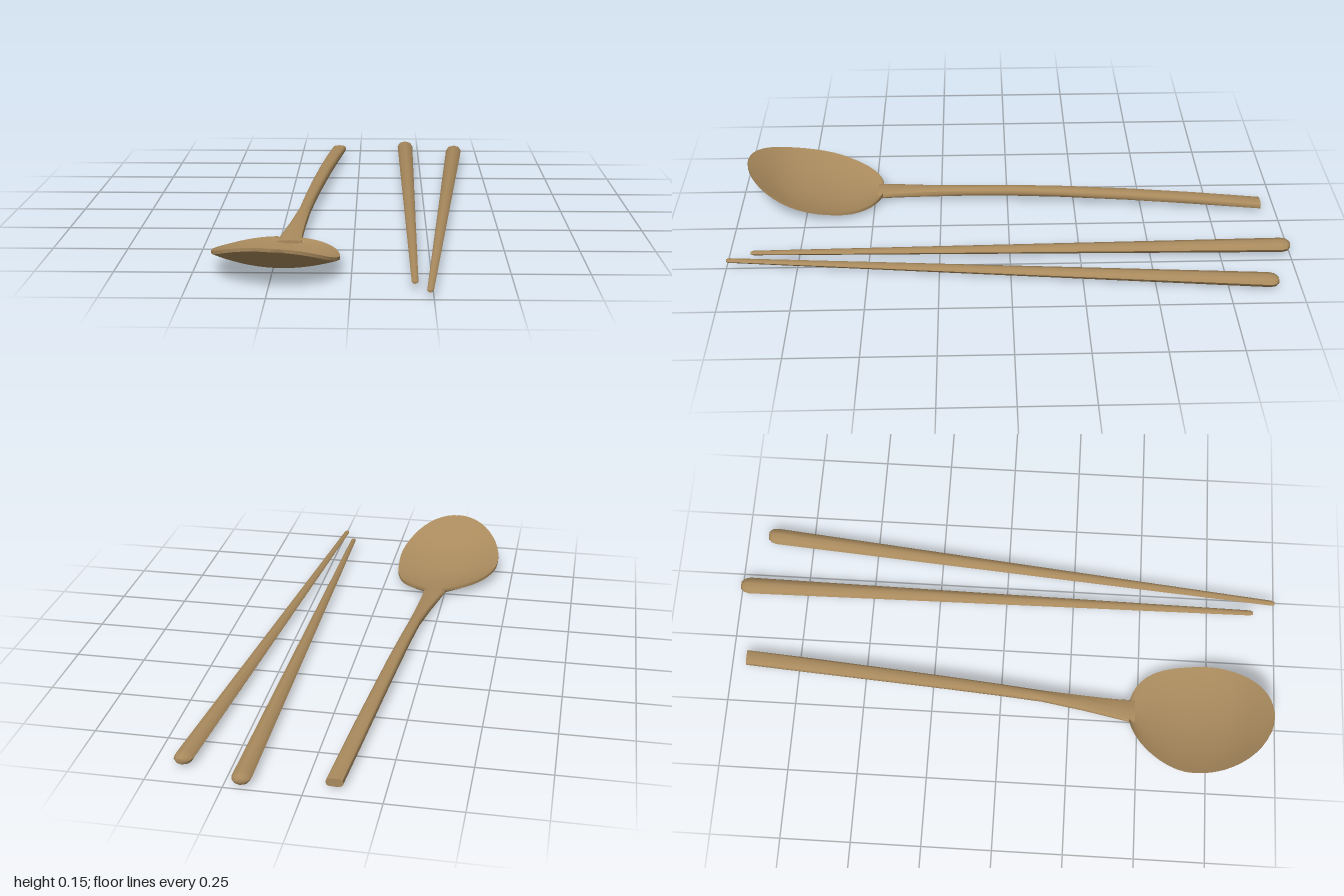
import * as THREE from 'three';
import { toCreasedNormals } from 'three/addons/utils/BufferGeometryUtils.js';

// Skin a row of closed rings (counter-clockwise seen from +z, ordered towards +z) and cap both ends.
function loft(rings, crease) {
  const n = rings[0].length, pos = [], index = [];
  rings.forEach((ring) => ring.forEach((p) => pos.push(p.x, p.y, p.z)));
  for (let i = 0; i < rings.length - 1; i++) {
    for (let j = 0; j < n; j++) {
      const k = (j + 1) % n;
      const a = i * n + j, b = i * n + k, c = b + n, d = a + n;
      index.push(a, b, c, a, c, d);
    }
  }
  [0, rings.length - 1].forEach((r) => {
    const mid = new THREE.Vector3();
    rings[r].forEach((p) => mid.addScaledVector(p, 1 / n));
    const m = pos.length / 3;
    pos.push(mid.x, mid.y, mid.z);
    for (let j = 0; j < n; j++) {
      const a = r * n + j, b = r * n + (j + 1) % n;
      if (r === 0) index.push(m, b, a);
      else index.push(m, a, b);
    }
  });
  const g = new THREE.BufferGeometry();
  g.setAttribute('position', new THREE.Float32BufferAttribute(pos, 3));
  g.setIndex(index);
  return toCreasedNormals(g, crease);
}

// Rounded ring; a power below 1 makes it boxier.
function ovalRing(x, y, z, rx, ry, sides, power = 1) {
  const bend = (v) => Math.sign(v) * Math.pow(Math.abs(v), power);
  return Array.from({ length: sides }, (_, j) => {
    const a = (j / sides) * Math.PI * 2;
    return new THREE.Vector3(x + rx * bend(Math.cos(a)), y + ry * bend(Math.sin(a)), z);
  });
}

// Smooth curve through [z, value] pairs.
function profile(points) {
  const curve = new THREE.SplineCurve(points.map(([z, v]) => new THREE.Vector2(z, v)));
  const samples = curve.getPoints(100);
  return (z) => {
    for (let i = 1; i < samples.length; i++) {
      const p = samples[i - 1], q = samples[i];
      if (z <= q.x) return p.y + (q.y - p.y) * THREE.MathUtils.clamp((z - p.x) / (q.x - p.x), 0, 1);
    }
    return samples[samples.length - 1].y;
  };
}

// Tapered stick with a rounded butt and a small blunt tip.
function chopstick(xButt, zButt, xTip, zTip) {
  const steps = [[0, 0.5], [0.006, 0.85], [0.016, 1], [0.5, 0.66], [0.994, 0.32], [1, 0.2]];
  return loft(steps.map(([t, s]) => ovalRing(
    xButt + (xTip - xButt) * t, 0.03, zButt + (zTip - zButt) * t, 0.032 * s, 0.022 * s, 8)), 1.0);
}

function spoonHandle() {
  // z, centre x, half width, bottom y, top y
  const stations = [
    [-0.945, -0.09, 0.028, 0.01, 0.04],
    [-0.7, -0.111, 0.027, 0.02, 0.053],
    [-0.45, -0.132, 0.025, 0.028, 0.062],
    [-0.2, -0.152, 0.023, 0.032, 0.066],
    [0, -0.168, 0.021, 0.03, 0.064],
    [0.15, -0.18, 0.02, 0.024, 0.058],
    [0.3, -0.195, 0.028, 0.017, 0.048],
    [0.42, -0.208, 0.037, 0.012, 0.04],
    [0.49, -0.214, 0.044, 0.01, 0.033],
  ];
  return loft(stations.map(([z, x, w, lo, hi]) =>
    ovalRing(x, (lo + hi) / 2, z, w, (hi - lo) / 2, 12, 0.65)), 0.8);
}

function spoonBowl() {
  const rim = profile([[0.47, 0.038], [0.6, 0.042], [0.73, 0.062], [0.85, 0.095], [0.975, 0.15]]);
  const base = profile([[0.47, 0.012], [0.62, 0.004], [0.73, 0.018], [0.85, 0.055], [0.975, 0.139]]);
  const rows = 22, cols = 16, rings = [];
  for (let i = 0; i <= rows; i++) {
    const a = THREE.MathUtils.lerp(-1.37, 1.53, i / rows);
    const z = 0.72 + 0.255 * Math.sin(a), halfWidth = 0.202 * Math.cos(a);
    const cx = THREE.MathUtils.lerp(-0.213, -0.239, THREE.MathUtils.smoothstep(z, 0.47, 0.7));
    const ring = [];
    const add = (s, lift) => {
      const y = base(z) + lift + (rim(z) - base(z) - 0.01) * s * s - 0.05 * halfWidth * s;
      ring.push(new THREE.Vector3(cx + halfWidth * s, y, z));
    };
    for (let j = 0; j <= cols; j++) add(1 - (2 * j) / cols, 0.011);
    for (let j = 0; j <= cols; j++) add(-1 + (2 * j) / cols, 0);
    rings.push(ring);
  }
  return loft(rings, 0.8);
}

export function createModel() {
  const wood = new THREE.MeshStandardMaterial({ color: 0xa98a5d });
  wood.name = 'wood';
  const model = new THREE.Group();
  model.name = 'cutlerySet';
  const add = (parent, name, geometry) => {
    const mesh = new THREE.Mesh(geometry, wood);
    mesh.name = name;
    parent.add(mesh);
  };

  // Spoon
  const spoon = new THREE.Group();
  spoon.name = 'spoon';
  add(spoon, 'spoonHandle', spoonHandle());
  add(spoon, 'spoonBowl', spoonBowl());
  model.add(spoon);

  // Chopsticks
  add(model, 'straightChopstick', chopstick(0.195, -1, 0.195, 0.92));
  add(model, 'slantedChopstick', chopstick(0.405, -0.92, 0.238, 1));
  return model;
}
